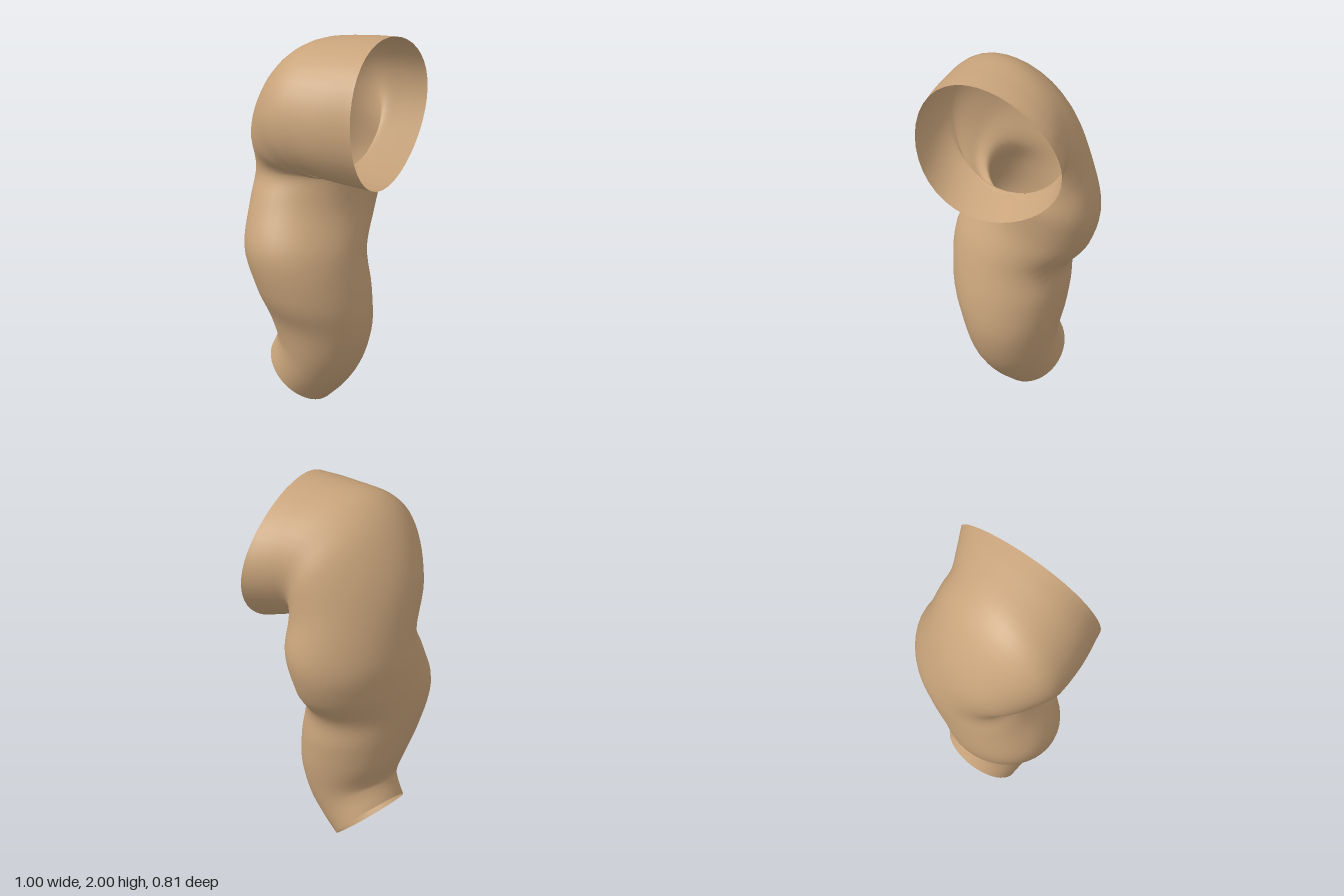
import * as THREE from 'three';

// Cross-sections from the wide upper opening to the cuff:
// centre, sideways half-axis, outer-bend half-axis
const SECTIONS = [
  [[0.06, 1.61, 0.305], [0.44, 0.03, -0.095], [-0.02, 0.388, -0.02]],
  [[-0.015, 1.62, 0.165], [0.44, 0.02, -0.05], [0, 0.37, -0.025]],
  [[-0.07, 1.61, 0.03], [0.43, 0.01, 0], [-0.01, 0.345, -0.09]],
  [[-0.065, 1.54, -0.04], [0.415, 0.04, 0], [-0.05, 0.275, -0.18]],
  [[-0.02, 1.4, -0.1], [0.375, 0.04, 0], [-0.08, 0.15, -0.25]],
  [[0.045, 1.22, -0.13], [0.35, -0.04, 0], [-0.06, 0, -0.27]],
  [[-0.02, 1.03, -0.13], [0.348, -0.075, 0], [-0.05, 0, -0.265]],
  [[-0.13, 0.83, -0.09], [0.34, -0.04, 0], [-0.02, 0, -0.285]],
  [[-0.115, 0.62, -0.05], [0.315, 0, 0], [0, 0.03, -0.29]],
  [[-0.085, 0.45, -0.03], [0.265, 0, 0], [0, 0.05, -0.27]],
  [[-0.08, 0.31, -0.035], [0.23, 0, 0], [0, 0.085, -0.22]],
  [[-0.08, 0.225, -0.08], [0.21, 0, 0], [0, 0.13, -0.175]],
  [[-0.08, 0.14, -0.15], [0.2, 0, 0], [0, 0.14, -0.14]],
];

// Smooth open tube lofted through the sections
function loftSections(sections, rings, sides) {
  const [centre, across, outer] = [0, 1, 2].map(
    (k) => new THREE.CatmullRomCurve3(sections.map((s) => new THREE.Vector3(...s[k])), false, 'catmullrom', 0.5)
  );
  const positions = [];
  const index = [];
  for (let i = 0; i <= rings; i++) {
    const t = i / rings;
    const c = centre.getPoint(t);
    const u = across.getPoint(t);
    const v = outer.getPoint(t);
    // Egg shape, narrower on the left, fading out away from the opening
    const egg = 0.16 * (1 - t) ** 3;
    for (let j = 0; j < sides; j++) {
      const a = (j / sides) * Math.PI * 2;
      const x = Math.cos(a);
      const p = c.clone().addScaledVector(u, x).addScaledVector(v, Math.sin(a) * (1 - egg * x));
      positions.push(p.x, p.y, p.z);
      if (i === rings) continue;
      const here = i * sides + j;
      const next = i * sides + ((j + 1) % sides);
      index.push(here, here + sides, next, next, here + sides, next + sides);
    }
  }
  const geometry = new THREE.BufferGeometry();
  geometry.setAttribute('position', new THREE.Float32BufferAttribute(positions, 3));
  geometry.setIndex(index);
  geometry.computeVertexNormals();
  return geometry;
}

export function createModel() {
  const group = new THREE.Group();
  group.name = 'bentSleeve';

  // Thin cloth tube, open at both ends
  const cloth = new THREE.MeshStandardMaterial({ color: 0xcaa57c, side: THREE.DoubleSide });
  const sleeve = new THREE.Mesh(loftSections(SECTIONS, 60, 40), cloth);
  sleeve.name = 'sleeve';
  group.add(sleeve);

  return group;
}
